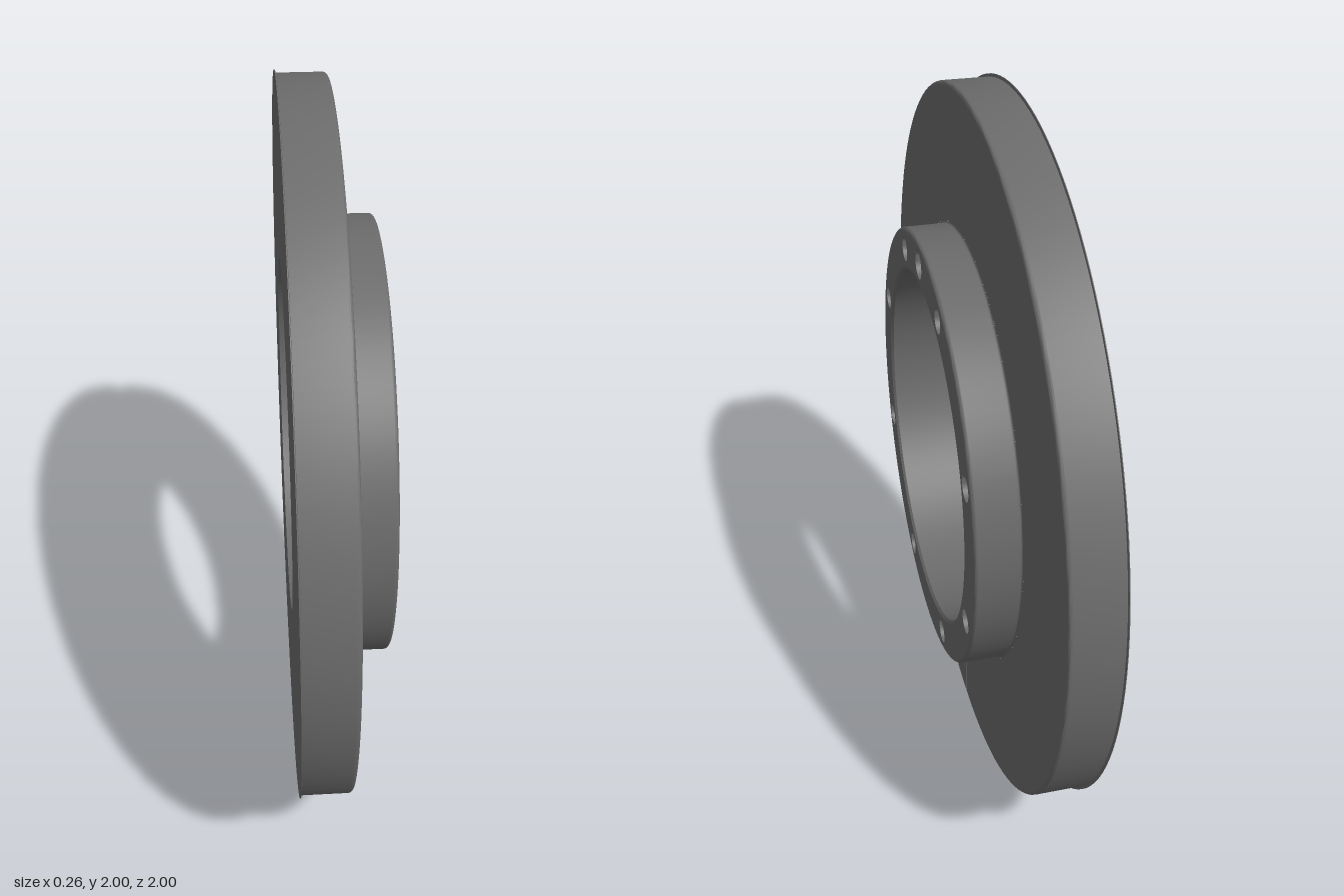
import * as THREE from 'three';
import { toCreasedNormals } from 'three/addons/utils/BufferGeometryUtils.js';

const SEG = 128;
const BACK = -0.13, STEP = 0.008, FRONT = 0.13; // positions along the axis
const LIP = 1, RIM = 0.992, HUB = 0.615, BORE = 0.498; // radii
const ROUND = 0.01, ROOT = 0.006, CHAMFER = 0.007; // edge treatments

export function createModel() {
  const model = new THREE.Group();
  model.name = 'flangedRing';
  const material = new THREE.MeshStandardMaterial({ color: 0x6b6b6b });

  const add = (name, geometry) => {
    const mesh = new THREE.Mesh(geometry, material);
    mesh.name = name;
    model.add(mesh);
    return mesh;
  };

  // Surface of revolution about local z; points are [radius, axial position]
  const turn = (points, segments = SEG) => {
    const profile = points.map(([r, z]) => new THREE.Vector2(r, z));
    const geometry = new THREE.LatheGeometry(profile, segments).rotateX(Math.PI / 2);
    return toCreasedNormals(geometry, 0.5);
  };

  // Quarter-round profile points about a centre, from one angle to another
  const fillet = (r, z, radius, from, to) => Array.from({ length: 5 }, (_, i) => {
    const t = from + (to - from) * i / 4;
    return [r + radius * Math.cos(t), z + radius * Math.sin(t)];
  });

  const circle = (x, y, r) => new THREE.Path().absarc(x, y, r, 0, Math.PI * 2, true);

  // Bore, back face with a thin lip, and rim rounded at the front
  add('flangeBody', turn([
    [BORE + CHAMFER, FRONT], [BORE, FRONT - CHAMFER], [BORE, BACK],
    [LIP, BACK], [LIP, BACK + 0.002], [RIM, BACK + 0.003],
    ...fillet(RIM - ROUND, STEP - ROUND, ROUND, 0, Math.PI / 2),
  ]));

  // Hub wall blended into the flange and rounded at its front edge
  add('hubWall', turn([
    ...fillet(HUB + ROOT, STEP + ROOT, ROOT, Math.PI * 1.5, Math.PI),
    ...fillet(HUB - ROUND, FRONT - ROUND, ROUND, 0, Math.PI / 2),
  ]));

  // Flange front face, notched at the bottom for the index groove
  const w = 0.005, grooveTop = -0.75, grooveDepth = 0.012;
  const r = RIM - ROUND, a = Math.asin(w / r);
  const face = new THREE.Shape();
  face.absarc(0, 0, r, -Math.PI / 2 + a, Math.PI * 1.5 - a, false);
  face.lineTo(-w, grooveTop);
  face.lineTo(w, grooveTop);
  face.holes.push(circle(0, 0, HUB + ROOT));
  add('flangeFace', new THREE.ShapeGeometry(face, SEG)).position.z = STEP;

  // Groove floor, side walls and inner end
  const length = r + grooveTop, middle = grooveTop - length / 2;
  add('grooveFloor', new THREE.PlaneGeometry(2 * w, length))
    .position.set(0, middle, STEP - grooveDepth);
  for (const side of [-1, 1]) {
    const wall = add('grooveWall', new THREE.PlaneGeometry(grooveDepth, length));
    wall.rotation.y = -side * Math.PI / 2;
    wall.position.set(side * w, middle, STEP - grooveDepth / 2);
  }
  const end = add('grooveEnd', new THREE.PlaneGeometry(2 * w, grooveDepth));
  end.rotation.x = Math.PI / 2;
  end.position.set(0, grooveTop, STEP - grooveDepth / 2);

  // Eight evenly spaced bolt holes plus one larger locating hole
  const holes = [{ x: -0.02, y: 0.557, r: 0.039, name: 'locatingHole' }];
  for (let i = 0; i < 8; i++) {
    const angle = (i + 0.5) * Math.PI / 4;
    holes.push({ x: 0.556 * Math.cos(angle), y: 0.556 * Math.sin(angle), r: 0.034, name: 'boltHole' });
  }

  // Hub front face pierced by the holes
  const hubFace = new THREE.Shape().absarc(0, 0, HUB - ROUND, 0, Math.PI * 2, false);
  hubFace.holes.push(circle(0, 0, BORE + CHAMFER));
  for (const h of holes) hubFace.holes.push(circle(h.x, h.y, h.r));
  add('hubFace', new THREE.ShapeGeometry(hubFace, SEG / 2)).position.z = FRONT;

  // Blind drilled pockets with conical bottoms
  for (const h of holes) {
    const pocket = turn([[h.r, 0], [h.r, -0.07], [0, -0.07 - h.r * 0.58]], 32);
    add(h.name, pocket).position.set(h.x, h.y, FRONT);
  }

  // Stand the ring upright with its axis along x
  model.rotation.y = Math.PI / 2;
  model.position.y = LIP;
  const root = new THREE.Group();
  root.name = 'model';
  root.add(model);
  return root;
}
